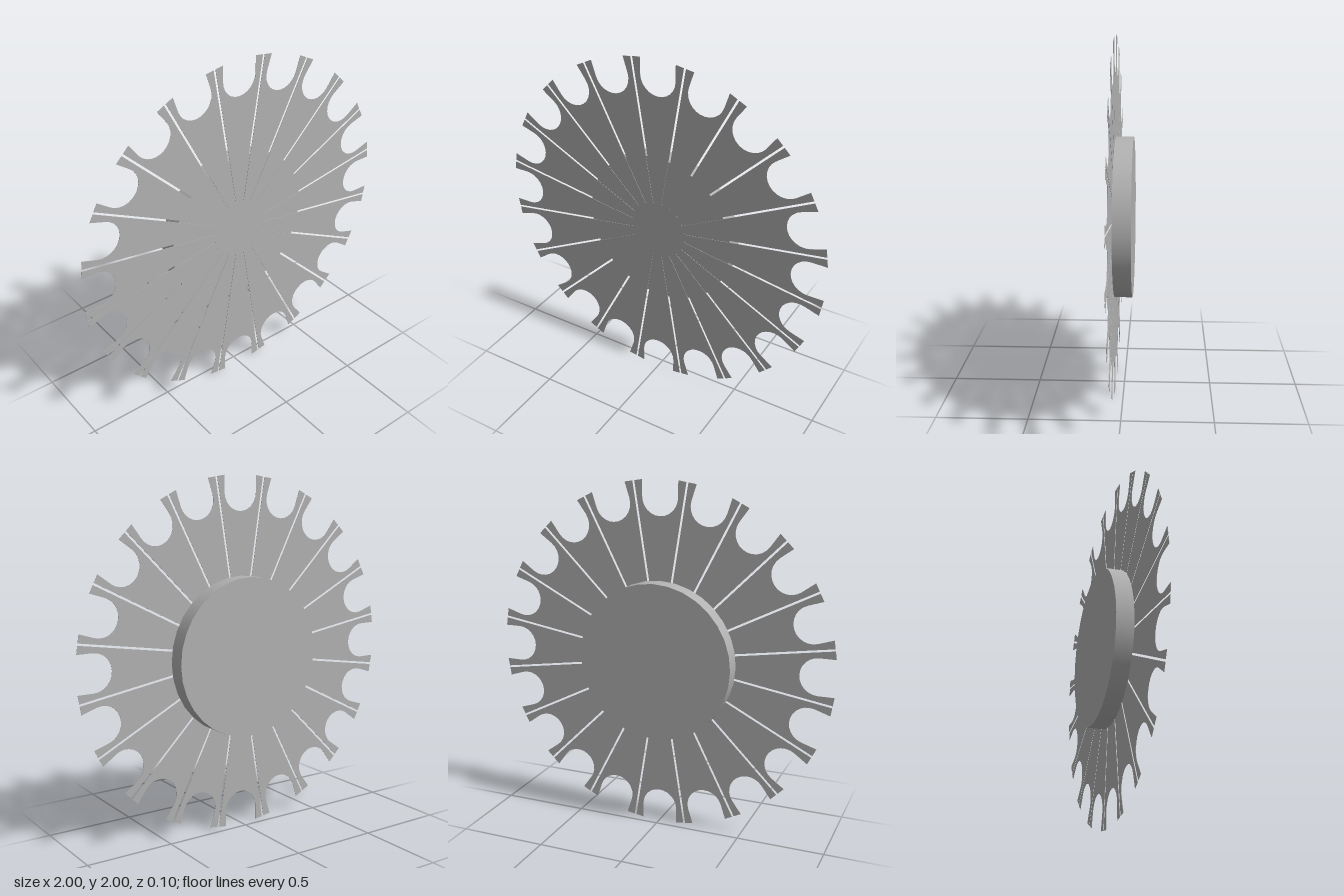
import * as THREE from 'three';

const TEETH = 20, HALF = Math.PI / TEETH;
const NOTCH_R = 0.105, NOTCH_Y = 0.91, TIP_Y = 1.0;
const SLOT_IN = 0.17, SLOT_OUT = 1.004, SLOT_HALF = 0.006;
const PLATE = 0.002, FRONT = 0.0505, BACK = -0.0505, HUB_R = 0.45;

// Outline of one sector, centred on a notch that points up.
function sectorPoints() {
  const slot = (r, side) => [
    side * (Math.sin(HALF) * r - Math.cos(HALF) * SLOT_HALF),
    Math.cos(HALF) * r + Math.sin(HALF) * SLOT_HALF,
  ];
  const pts = [slot(SLOT_IN, 1), slot(SLOT_OUT, 1), [NOTCH_R, TIP_Y]];
  const steps = 12;
  for (let i = 0; i <= steps; i++) {
    const a = -Math.PI * i / steps;
    pts.push([NOTCH_R * Math.cos(a), NOTCH_Y + NOTCH_R * Math.sin(a)]);
  }
  pts.push([-NOTCH_R, TIP_Y], slot(SLOT_OUT, -1), slot(SLOT_IN, -1));
  return pts;
}

export function createModel() {
  const model = new THREE.Group();
  const grey = new THREE.MeshStandardMaterial({ color: 0xb2b2b2 });
  grey.name = 'grey metal';

  // Thin plate with round notches and radial slits
  const sector = sectorPoints();
  const outline = [];
  for (let k = 0; k < TEETH; k++) {
    const c = Math.cos(k * 2 * HALF), s = Math.sin(k * 2 * HALF);
    for (const [x, y] of sector) outline.push(new THREE.Vector2(x * c - y * s, x * s + y * c));
  }
  const plate = new THREE.Mesh(
    new THREE.ExtrudeGeometry(new THREE.Shape(outline), { depth: PLATE, bevelEnabled: false }), grey);
  plate.name = 'notchedPlate';
  plate.position.set(0, 1, FRONT - PLATE);
  model.add(plate);

  // Round hub behind the plate
  const depth = FRONT - PLATE - BACK;
  const hub = new THREE.Mesh(new THREE.CylinderGeometry(HUB_R, HUB_R, depth, 32), grey);
  hub.name = 'hub';
  hub.rotation.x = Math.PI / 2;
  hub.position.set(0, 1, BACK + depth / 2);
  model.add(hub);

  return model;
}
